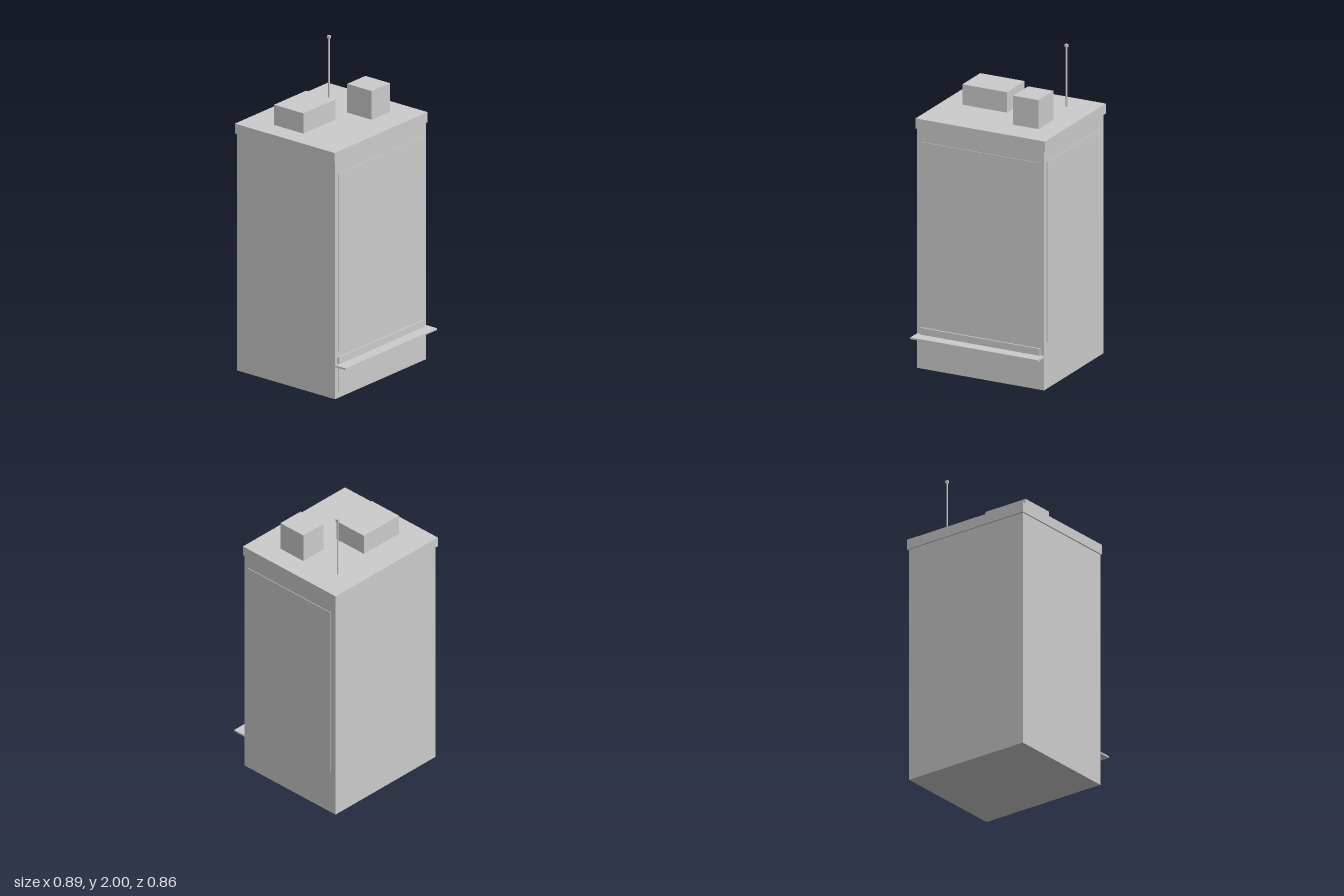
import * as THREE from 'three';

export function createModel() {
  const model = new THREE.Group();
  const concrete = new THREE.MeshStandardMaterial({ color: 0xcccccc });
  concrete.name = 'concrete grey';

  // Box given by its min and max corner
  function block(name, [x0, y0, z0], [x1, y1, z1]) {
    const mesh = new THREE.Mesh(new THREE.BoxGeometry(x1 - x0, y1 - y0, z1 - z0), concrete);
    mesh.position.set((x0 + x1) / 2, (y0 + y1) / 2, (z0 + z1) / 2);
    mesh.name = name;
    model.add(mesh);
  }

  // Tower and overhanging roof slab
  block('tower', [-0.435, 0, -0.42], [0.435, 1.535, 0.345]);
  block('roofSlab', [-0.444, 1.535, -0.43], [0.444, 1.6, 0.35]);

  // Thin window fields on the front and left walls
  block('frontWindowPanel', [-0.405, 0.3, 0.344], [0.405, 1.455, 0.349]);
  block('sideWindowPanel', [0.434, 0.3, -0.38], [0.439, 1.455, 0.31]);

  // Street level: shopfront, canopy and sign board
  block('shopfront', [-0.405, 0.035, 0.344], [0.405, 0.21, 0.349]);
  block('canopy', [-0.437, 0.21, 0.344], [0.437, 0.221, 0.43]);
  block('signBoard', [-0.41, 0.221, 0.344], [0.41, 0.265, 0.355]);

  // Rooftop equipment
  block('plantRoom', [-0.311, 1.6, -0.232], [-0.006, 1.731, -0.003]);
  block('stairHead', [0.13, 1.6, -0.022], [0.304, 1.786, 0.17]);

  // Antenna mast with a small tip
  const mast = new THREE.Mesh(new THREE.CylinderGeometry(0.005, 0.005, 0.385, 8), concrete);
  mast.position.set(0.26, 1.7925, -0.27);
  mast.name = 'antennaMast';
  model.add(mast);
  block('antennaTip', [0.251, 1.983, -0.279], [0.269, 2, -0.261]);

  return model;
}
